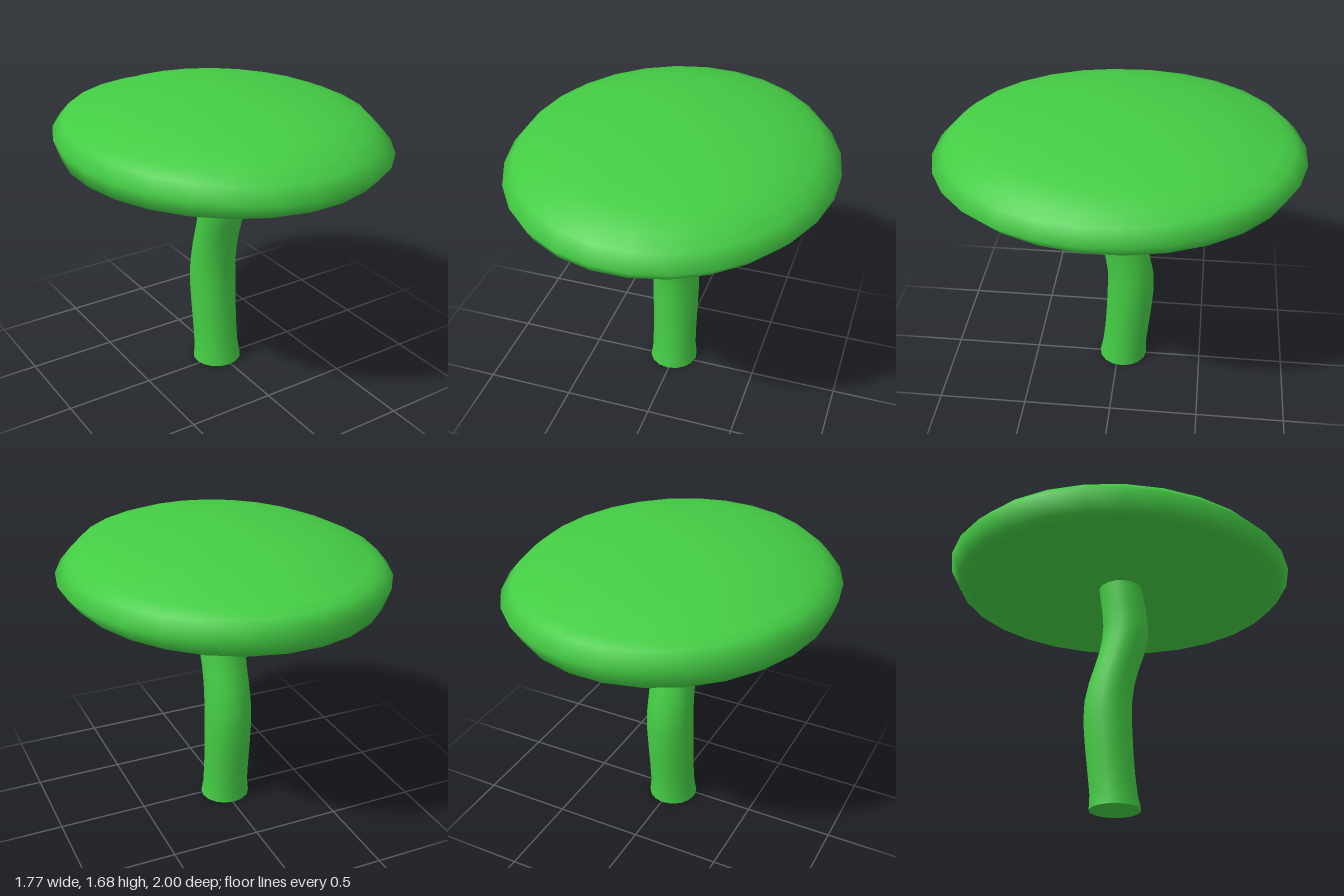
import * as THREE from 'three';
import { mergeVertices } from 'three/addons/utils/BufferGeometryUtils.js';

// Moves every vertex by a rule, then welds seams for smooth shading
function reshape(geometry, rule) {
  const pos = geometry.attributes.position;
  const v = new THREE.Vector3();
  for (let i = 0; i < pos.count; i++) {
    rule(v.fromBufferAttribute(pos, i));
    pos.setXYZ(i, v.x, v.y, v.z);
  }
  geometry.deleteAttribute('uv');
  geometry.deleteAttribute('normal');
  const welded = mergeVertices(geometry, 1e-4);
  welded.computeVertexNormals();
  return welded;
}

export function createModel() {
  const group = new THREE.Group();
  group.name = 'mushroom';
  const material = new THREE.MeshStandardMaterial({ color: 0x44cc44 });

  // Cap: hollowed underside, rolled lip, shallow dome
  const profile = [
    [0, 1.34], [0.15, 1.35], [0.28, 1.385], [0.45, 1.415], [0.65, 1.41],
    [0.8, 1.36], [0.87, 1.338], [0.945, 1.342], [1, 1.435], [0.935, 1.505],
    [0.87, 1.545], [0.75, 1.59], [0.6, 1.627], [0.4, 1.657], [0.2, 1.675], [0, 1.682],
  ].map(([r, y]) => new THREE.Vector2(r, y));
  const capGeometry = reshape(
    new THREE.LatheGeometry(profile, 28, Math.PI / 28),
    (v) => {
      // Oval plan, with the rim tilted slightly
      const rim = v.y > 1.42 && v.y < 1.52 ? 1 : 0;
      v.y -= rim * (0.015 * v.x + 0.022 * v.z);
      if (v.y < 1.4) v.x -= 0.015;
      v.x *= 0.89;
      v.z *= 1.004;
    }
  );
  const cap = new THREE.Mesh(capGeometry, material);
  cap.name = 'cap';
  group.add(cap);

  // Stem: an S-curve leaning back low down and forward near the top
  const sections = [ // height, centre z, radius
    [0, -0.03, 0.142], [0.08, -0.037, 0.132], [0.2, -0.05, 0.131],
    [0.35, -0.063, 0.134], [0.5, -0.072, 0.137], [0.62, -0.07, 0.134],
    [0.74, -0.05, 0.13], [0.84, -0.022, 0.128], [0.93, 0.006, 0.13],
    [1.02, 0.027, 0.134], [1.1, 0.031, 0.132], [1.2, 0.022, 0.13], [1.38, -0.004, 0.127],
  ];
  const rows = sections.length - 1;
  const stemGeometry = reshape(
    new THREE.CylinderGeometry(1, 1, rows, 16, rows, true),
    (v) => {
      const [y, z, r] = sections[Math.round(v.y + rows / 2)];
      v.set(v.x * r - 0.01, y, v.z * r + z);
    }
  );
  const stem = new THREE.Mesh(stemGeometry, material);
  stem.name = 'stem';
  group.add(stem);

  // Flat foot closing the stem
  const foot = new THREE.Mesh(new THREE.CircleGeometry(0.142, 16), material);
  foot.name = 'stemFoot';
  foot.rotation.x = Math.PI / 2;
  foot.position.set(-0.01, 0, -0.03);
  group.add(foot);

  return group;
}
